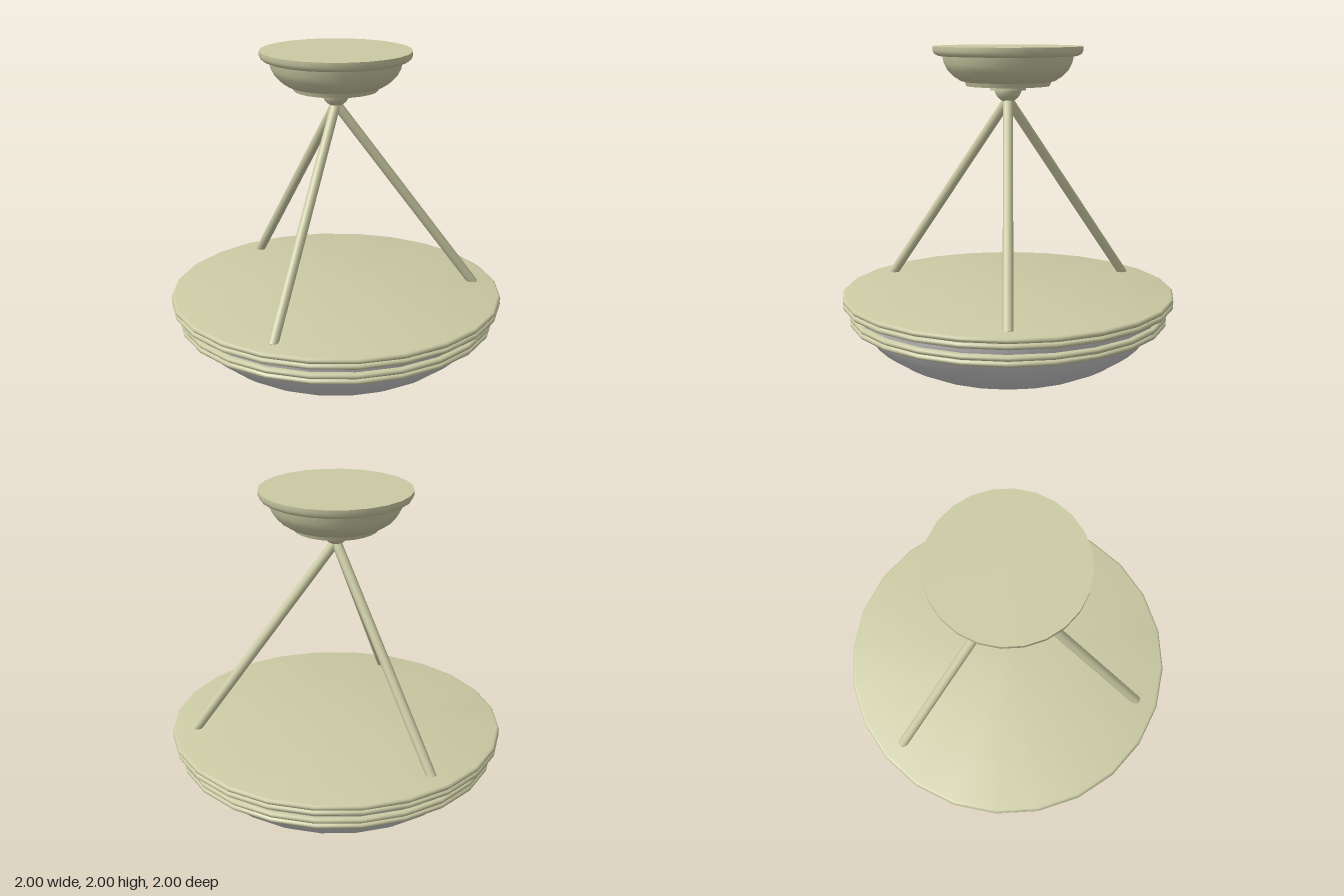
import * as THREE from 'three';
import { toCreasedNormals } from 'three/addons/utils/BufferGeometryUtils.js';

const SIDES = 24;
const metal = new THREE.MeshStandardMaterial({ color: 0xcacaa4 });
const glass = new THREE.MeshStandardMaterial({ color: 0xcccccc, side: THREE.DoubleSide });

// Revolve a bottom-to-top profile of [radius, y] pairs
function lathe(name, profile, material, crease = 0.7) {
  const points = profile.map(([r, y]) => new THREE.Vector2(r, y));
  const geometry = toCreasedNormals(new THREE.LatheGeometry(points, SIDES), crease);
  const mesh = new THREE.Mesh(geometry, material);
  mesh.name = name;
  return mesh;
}

// Half-round bead profile, bulging outwards between y0 and y1
function bead(inner, outer, y0, y1) {
  const points = [];
  const half = (y1 - y0) / 2;
  for (let i = 0; i <= 6; i++) {
    const a = -Math.PI / 2 + (Math.PI * i) / 6;
    points.push([outer - half + half * Math.cos(a), y0 + half + half * Math.sin(a)]);
  }
  return [[inner, y0], ...points, [inner, y1]];
}

export function createModel() {
  const model = new THREE.Group();
  model.name = 'pendantLamp';

  // Shallow glass bowl, a half ellipse
  const bowl = [];
  for (let i = 0; i <= 14; i++) {
    const a = (Math.PI / 2) * (i / 14);
    bowl.push([0.94 * Math.sin(a), 0.505 - 0.5 * Math.cos(a)]);
  }
  model.add(lathe('glassBowl', bowl, glass, 1.2));

  // Two pairs of beaded rings; the topmost bead is closed by the cover plate
  model.add(lathe('lowerRingBottom', bead(0.86, 0.96, 0.37, 0.402), metal));
  model.add(lathe('lowerRingTop', bead(0.86, 0.96, 0.402, 0.434), metal));
  model.add(lathe('upperRingBottom', bead(0.9, 1.0, 0.478, 0.511), metal));
  model.add(lathe('upperRingTop', bead(0, 1.0, 0.511, 0.544), metal));

  // Three rods spreading from the hub to the cover plate
  for (let i = 0; i < 3; i++) {
    const angle = Math.PI + (i * Math.PI * 2) / 3;
    const top = new THREE.Vector3(0, 1.69, 0);
    const foot = new THREE.Vector3(0.865 * Math.cos(angle), 0.53, 0.865 * Math.sin(angle));
    const axis = top.clone().sub(foot);
    const rod = new THREE.Mesh(new THREE.CylinderGeometry(0.029, 0.029, axis.length(), 12), metal);
    rod.name = 'rod' + (i + 1);
    rod.position.copy(top).add(foot).multiplyScalar(0.5);
    rod.quaternion.setFromUnitVectors(new THREE.Vector3(0, 1, 0), axis.normalize());
    model.add(rod);
  }

  // Ball hub and its collar under the canopy
  const hub = [];
  for (let i = 0; i <= 8; i++) {
    const a = (Math.PI / 2) * (i / 8);
    hub.push([0.08 * Math.sin(a), 1.755 - 0.08 * Math.cos(a)]);
  }
  model.add(lathe('hubBall', hub, metal));
  model.add(lathe('hubCollar', [[0, 1.745], [0.107, 1.745], [0.107, 1.775]], metal));

  // Stepped ceiling canopy
  model.add(lathe('canopy', [
    [0, 1.77], [0.245, 1.77], [0.255, 1.795], [0.28, 1.8], [0.32, 1.825], [0.355, 1.862],
    [0.375, 1.9], [0.385, 1.945], [0.41, 1.945], [0.43, 1.955], [0.44, 1.975], [0.44, 2], [0, 2],
  ], metal));

  return model;
}
